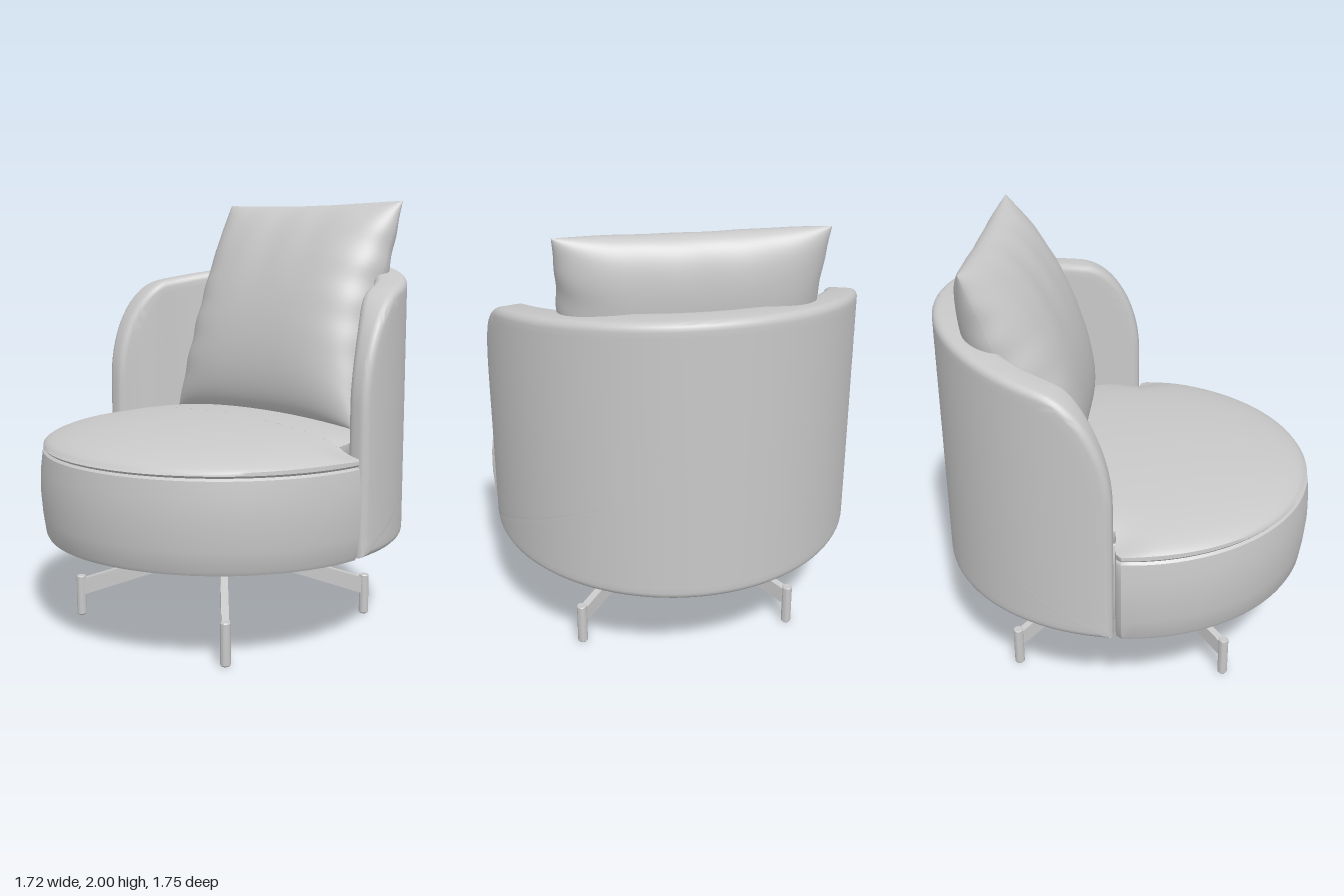
import * as THREE from 'three';
import { toCreasedNormals } from 'three/addons/utils/BufferGeometryUtils.js';

const grey = new THREE.MeshStandardMaterial({ color: 0xc8c8c8 });
grey.name = 'light grey';

function part(name, geometry) {
  const mesh = new THREE.Mesh(geometry, grey);
  mesh.name = name;
  return mesh;
}

// Skins a series of closed rings, each an array of [x, y, z]
function loft(rings, crease) {
  const n = rings[0].length, index = [];
  for (let i = 0; i < rings.length - 1; i++) {
    for (let j = 0; j < n; j++) {
      const a = i * n + j, b = i * n + (j + 1) % n;
      index.push(a, b, b + n, a, b + n, a + n);
    }
  }
  const g = new THREE.BufferGeometry();
  g.setAttribute('position', new THREE.Float32BufferAttribute(rings.flat(2), 3));
  g.setIndex(index);
  g.computeVertexNormals();
  return toCreasedNormals(g, crease);
}

// Round seat: full radius in front, narrower behind where it sits inside the shell
function seat() {
  const plan = [];
  for (let i = 0; i <= 40; i++) {
    const a = Math.PI * i / 40;
    plan.push([0.72 * Math.cos(a), -0.72 * Math.sin(a)]);
  }
  plan.push([-0.76, 0.005], [-0.81, 0.005], [-0.84, 0.012]);
  for (let i = 0; i <= 64; i++) {
    const a = Math.PI + 0.04 + (Math.PI - 0.08) * i / 64;
    plan.push([0.86 * Math.cos(a), -0.875 * Math.sin(a)]);
  }
  plan.push([0.84, 0.012], [0.81, 0.005], [0.76, 0.005]);

  // Side wall with a seam groove near the top
  const wall = [[0.001, 0.44], [0.5, 0.44], [0.95, 0.44], [0.965, 0.443], [0.975, 0.46], [0.99, 0.55],
    [1, 0.66], [0.997, 0.76], [0.985, 0.845], [0.972, 0.855], [0.982, 0.865]];
  const rings = wall.map(([k, y]) => plan.map(([x, z]) => [x * k, y, z * k]));

  // Domed cushion top, pulled down at the two front corners of the shell
  const dome = (x, z) => {
    const t = Math.min(1, Math.hypot(x, z) / 0.855);
    const dip = 0.04 * Math.exp(-((Math.abs(x) - 0.8) ** 2 + z * z) / 0.012);
    return 0.866 + 0.134 * (1 - t * t) ** 0.55 - dip * (1 - t ** 12);
  };
  for (const k of [0.98, 0.97, 0.955, 0.935, 0.91, 0.87, 0.82, 0.75, 0.67, 0.58, 0.48, 0.38, 0.28, 0.18, 0.08, 0.001]) {
    rings.push(plan.map(([x, z]) => [x * k, dome(x * k, z * k), z * k]));
  }
  return loft(rings, 0.7);
}

// Wraparound back: a flat outline with rounded edges, bent around the seat
function backShell() {
  const R = 0.86, L = Math.PI * R, bottom = 0.44, r = 0.035;
  const height = (s) => {
    const z = R * Math.sin(s / R), u = Math.min(1, z / 0.3);
    return 1.1 + 0.455 * Math.sqrt(Math.max(0, 1 - (1 - u) ** 2)) + 0.18 * z;
  };
  const outline = [];
  for (let i = 0; i < 48; i++) outline.push([L * i / 48, bottom]);
  for (let i = 0; i < 12; i++) outline.push([L, bottom + 0.66 * i / 12]);
  for (let i = 0; i < 80; i++) {
    const s = L * (1 + Math.cos(Math.PI * i / 80)) / 2;
    outline.push([s, height(s)]);
  }
  for (let i = 0; i < 12; i++) outline.push([0, 1.1 - 0.66 * i / 12]);

  const n = outline.length;
  const inset = (d) => outline.map(([s, y], i) => {
    const p = outline[(i + n - 1) % n], q = outline[(i + 1) % n];
    const l = Math.hypot(q[0] - p[0], q[1] - p[1]);
    return [s - d * (q[1] - p[1]) / l, y + d * (q[0] - p[0]) / l];
  });
  // The padding thickens away from the front edges
  const thickness = (phi) => 0.1 + 0.05 * THREE.MathUtils.smoothstep(Math.sin(phi), 0, 0.3);
  const bend = (pts, depth) => pts.map(([s, y]) => {
    const phi = s / R, d = depth(thickness(phi));
    return [(0.845 - d) * Math.cos(phi), y, -(0.872 - d) * Math.sin(phi) - 0.004];
  });
  const face = (k) => inset(r).map(([s, y]) => [L / 2 + (s - L / 2) * k, 1.05 + (y - 1.05) * k]);

  const rings = [], N = 24, B = 5;
  for (let i = 0; i < N; i++) rings.push(bend(face(Math.max(0.001, i / N)), (t) => t));
  for (let i = 0; i <= B; i++) {
    const a = Math.PI / 2 * i / B;
    rings.push(bend(inset(r * (1 - Math.sin(a))), (t) => t - r + r * Math.cos(a)));
  }
  for (let i = 0; i <= B; i++) {
    const a = Math.PI / 2 * i / B;
    rings.push(bend(inset(r * (1 - Math.cos(a))), () => r - r * Math.sin(a)));
  }
  for (let i = N - 1; i >= 0; i--) rings.push(bend(face(Math.max(0.001, i / N)), () => 0));
  return loft(rings, 0.9);
}

// One side of the cushion, bulging to +z (side 1) or -z (side -1)
function cushionSide(side) {
  const g = new THREE.PlaneGeometry(2, 2, 56, 56);
  if (side < 0) g.rotateY(Math.PI);
  const p = g.attributes.position;
  for (let i = 0; i < p.count; i++) {
    const u = Math.sin(p.getX(i) * Math.PI / 2), v = Math.sin(p.getY(i) * Math.PI / 2);
    const pinch = Math.max(0, 1 - u ** 4) ** 0.55 * Math.max(0, 1 - v * v) ** 0.5;
    // Soft creases near the side seams and below the top seam
    const creases = 0.006 * Math.sin(v * 17 + u * 2) * u ** 6 + 0.004 * Math.sin(u * 13) * Math.max(0, v) * (1 - u * u);
    const x = u * (0.57 - 0.012 * v - 0.028 * (1 - v * v) + 0.004 * Math.sin(v * 19) * (1 - v * v));
    const y = v * (0.558 - 0.02 * (1 - u * u));
    p.setXYZ(i, x, y, side * pinch * (0.205 + creases * 1.5));
  }
  g.computeVertexNormals();
  return g;
}

function cushion() {
  const group = new THREE.Group();
  group.name = 'backCushion';
  group.add(part('cushionFront', cushionSide(1)), part('cushionBack', cushionSide(-1)));
  group.position.set(0.005, 1.475, -0.45);
  group.rotation.x = -0.347;
  return group;
}

// Central post with four sloping diagonal legs and upright feet
function base() {
  const group = new THREE.Group();
  group.name = 'base';
  const post = part('post', new THREE.CylinderGeometry(0.045, 0.045, 0.2, 32));
  post.position.y = 0.345;
  group.add(post);

  const side = new THREE.Shape([[0, 0.31], [0.04, 0.305], [0.69, 0.1], [0.69, 0.18], [0.04, 0.375], [0, 0.38]]
    .map(([x, y]) => new THREE.Vector2(x, y)));
  const barShape = new THREE.ExtrudeGeometry(side, { depth: 0.034, bevelEnabled: false }).translate(0, 0, -0.017);
  const footShape = toCreasedNormals(new THREE.LatheGeometry(
    [[0, 0], [0.018, 0], [0.023, 0.006], [0.023, 0.192], [0.02, 0.196], [0, 0.196]]
      .map(([x, y]) => new THREE.Vector2(x, y)), 20), 0.6);
  for (let i = 0; i < 4; i++) {
    const leg = new THREE.Group();
    leg.name = 'leg';
    const foot = part('foot', footShape);
    foot.position.x = 0.693;
    leg.add(part('legBar', barShape), foot);
    leg.rotation.y = Math.PI / 4 + i * Math.PI / 2;
    group.add(leg);
  }
  return group;
}

export function createModel() {
  const model = new THREE.Group();
  model.name = 'swivelArmchair';
  model.add(part('seat', seat()), part('backShell', backShell()), cushion(), base());
  return model;
}
